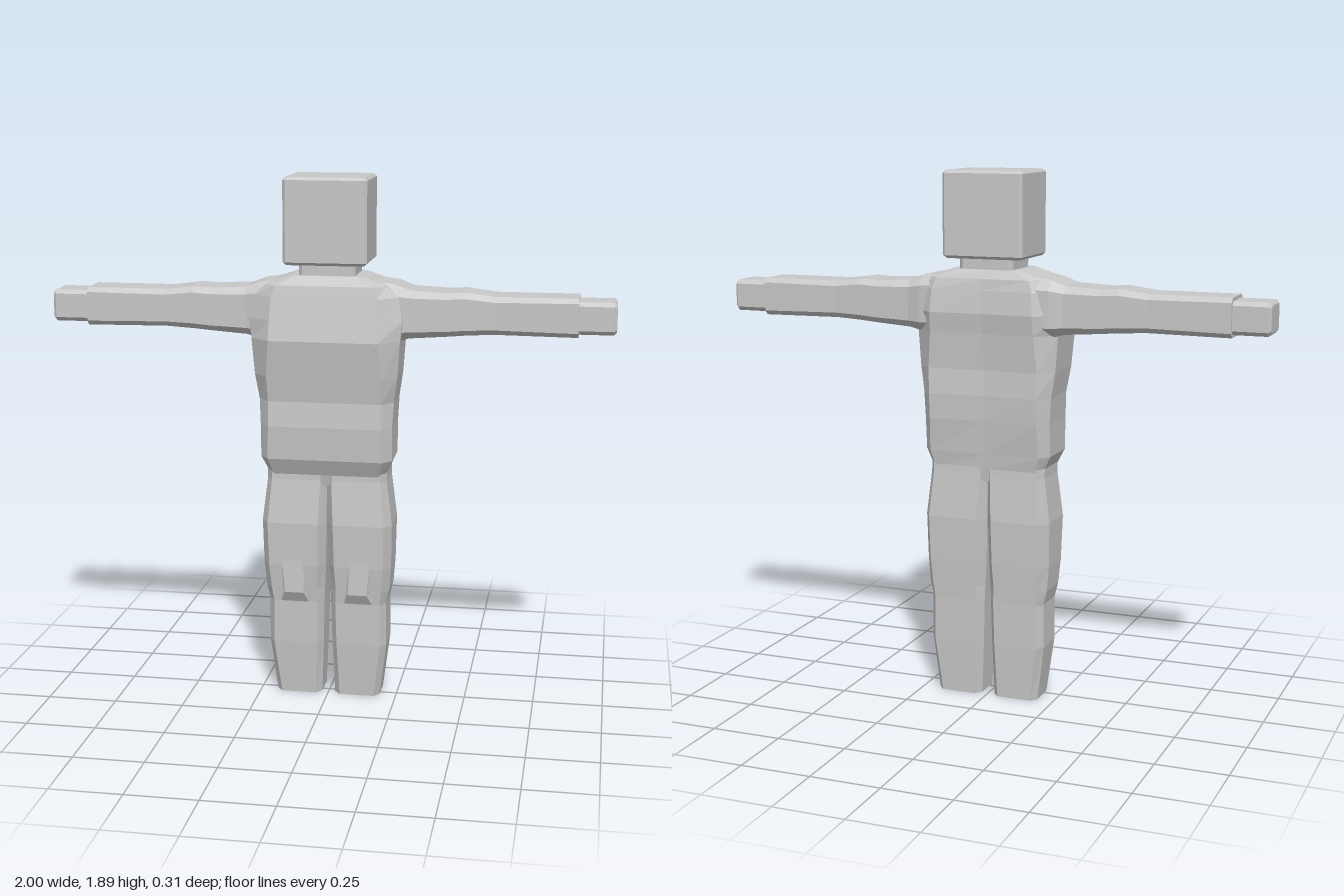
import * as THREE from 'three';

const grey = new THREE.MeshStandardMaterial({ color: 0xc8c8c8 });
grey.name = 'plain grey';
grey.flatShading = true;

// Rectangle with cut corners; dent pulls in the middle of the low-b side.
function section(a0, a1, b0, b1, ca, cb, dent = 0) {
  return [
    [a0 + ca, b1], [a1 - ca, b1], [a1, b1 - cb], [a1, b0 + cb],
    [a1 - ca, b0], [(a0 + a1) / 2, b0 + dent], [a0 + ca, b0], [a0, b0 + cb], [a0, b1 - cb],
  ];
}

// Skins equal-sized rings of [x, y, z] and closes both ends.
function loft(rings) {
  const n = rings[0].length, last = (rings.length - 1) * n;
  const points = rings.flat();
  const faces = [];
  for (let r = 0; r < rings.length - 1; r++) {
    for (let i = 0; i < n; i++) {
      const a = r * n + i, b = r * n + (i + 1) % n;
      faces.push([a, b, b + n], [a, b + n, a + n]);
    }
  }
  [[0, true], [last, false]].forEach(([start, flip]) => {
    const middle = [0, 1, 2].map((k) => {
      let sum = 0;
      for (let i = 0; i < n; i++) sum += points[start + i][k];
      return sum / n;
    });
    const m = points.push(middle) - 1;
    for (let i = 0; i < n; i++) {
      const a = start + i, b = start + (i + 1) % n;
      faces.push(flip ? [m, b, a] : [m, a, b]);
    }
  });
  // Turn the faces outward, whichever way the rings run
  let volume = 0;
  const v = points.map((p) => new THREE.Vector3(...p));
  for (const [a, b, c] of faces) volume += v[a].dot(v[b].clone().cross(v[c]));
  if (volume < 0) faces.forEach((f) => f.reverse());
  const indexed = new THREE.BufferGeometry();
  indexed.setAttribute('position', new THREE.Float32BufferAttribute(points.flat(), 3));
  indexed.setIndex(faces.flat());
  const geometry = indexed.toNonIndexed();
  geometry.computeVertexNormals();
  return geometry;
}

// Upright loft from rows of [y, x0, x1, z0, z1, cutX, cutZ, dent]
const upright = (rows, side = 1) => loft(rows.map(([y, ...s]) =>
  section(...s).map(([x, z]) => [x * side, y, z])));

// Sideways loft from rows of [x, y0, y1, z0, z1, cut]
const sideways = (rows, side) => loft(rows.map(([x, y0, y1, z0, z1, c]) =>
  section(y0, y1, z0, z1, c, c).map(([y, z]) => [x * side, y, z])));

export function createModel() {
  const model = new THREE.Group();
  model.name = 'blockyFigure';
  const add = (name, geometry) => {
    const mesh = new THREE.Mesh(geometry, grey);
    mesh.name = name;
    model.add(mesh);
  };

  // Torso: [y, half width, back z, front z, cutX, cutZ, spine dent]
  add('torso', upright([
    [0.80, 0.195, -0.105, 0.075, 0.02, 0.03, 0],
    [0.84, 0.208, -0.11, 0.085, 0.02, 0.03, 0],
    [0.90, 0.235, -0.12, 0.115, 0.03, 0.04, 0.005],
    [1.02, 0.235, -0.135, 0.125, 0.035, 0.045, 0.01],
    [1.11, 0.24, -0.14, 0.12, 0.04, 0.05, 0.012],
    [1.20, 0.253, -0.135, 0.135, 0.05, 0.05, 0.012],
    [1.33, 0.262, -0.145, 0.157, 0.07, 0.06, 0.012],
    [1.40, 0.27, -0.155, 0.145, 0.08, 0.055, 0.012],
    [1.48, 0.255, -0.145, 0.132, 0.07, 0.05, 0.01],
    [1.52, 0.212, -0.135, 0.125, 0.04, 0.04, 0.005],
    [1.55, 0.125, -0.115, 0.085, 0.02, 0.02, 0],
  ].map(([y, w, ...rest]) => [y, -w, w, ...rest])));

  // Neck and cube head with slightly cut edges
  add('neck', upright([
    [1.50, -0.1, 0.1, -0.105, 0.07, 0.015, 0.015],
    [1.62, -0.1, 0.1, -0.105, 0.07, 0.015, 0.015],
  ]));
  add('head', upright([
    [1.588, -0.138, 0.135, -0.133, 0.1, 0.008, 0.008],
    [1.598, -0.148, 0.146, -0.143, 0.11, 0.01, 0.01],
    [1.88, -0.148, 0.146, -0.143, 0.11, 0.01, 0.01],
    [1.89, -0.138, 0.136, -0.133, 0.1, 0.008, 0.008],
  ]));

  for (const [label, side] of [['left', 1], ['right', -1]]) {
    // Arm, flaring into the shoulder
    add(label + 'Arm', sideways([
      [0.18, 1.32, 1.53, -0.135, 0.095, 0.04],
      [0.24, 1.323, 1.522, -0.13, 0.085, 0.035],
      [0.29, 1.335, 1.503, -0.115, 0.073, 0.025],
      [0.42, 1.345, 1.496, -0.112, 0.07, 0.02],
      [0.48, 1.35, 1.5, -0.11, 0.068, 0.02],
      [0.58, 1.355, 1.487, -0.102, 0.06, 0.018],
      [0.87, 1.352, 1.487, -0.1, 0.058, 0.016],
    ], side));

    // Hand block
    add(label + 'Hand', sideways([
      [0.85, 1.362, 1.475, -0.09, 0.046, 0.014],
      [0.99, 1.362, 1.475, -0.09, 0.046, 0.014],
      [1.0, 1.372, 1.465, -0.08, 0.036, 0.01],
    ], side));

    // Leg
    add(label + 'Leg', upright([
      [0.87, 0.0, 0.215, -0.11, 0.085, 0.02, 0.03],
      [0.82, 0.0, 0.215, -0.112, 0.085, 0.02, 0.03],
      [0.66, 0.002, 0.235, -0.125, 0.1, 0.025, 0.04],
      [0.50, 0.005, 0.232, -0.12, 0.09, 0.025, 0.04],
      [0.41, 0.01, 0.225, -0.115, 0.077, 0.025, 0.035],
      [0.36, 0.012, 0.213, -0.112, 0.07, 0.02, 0.03],
      [0.20, 0.016, 0.215, -0.11, 0.064, 0.02, 0.03],
      [0.0, 0.024, 0.19, -0.1, 0.045, 0.02, 0.025],
    ], side));

    // Knee pad, fading into the thigh
    add(label + 'KneePad', upright([
      [0.53, 0.08, 0.17, 0.04, 0.091, 0.01, 0.01],
      [0.40, 0.075, 0.155, 0.04, 0.093, 0.005, 0.01],
      [0.36, 0.06, 0.17, 0.04, 0.07, 0.005, 0.005],
    ], side));
  }
  return model;
}
